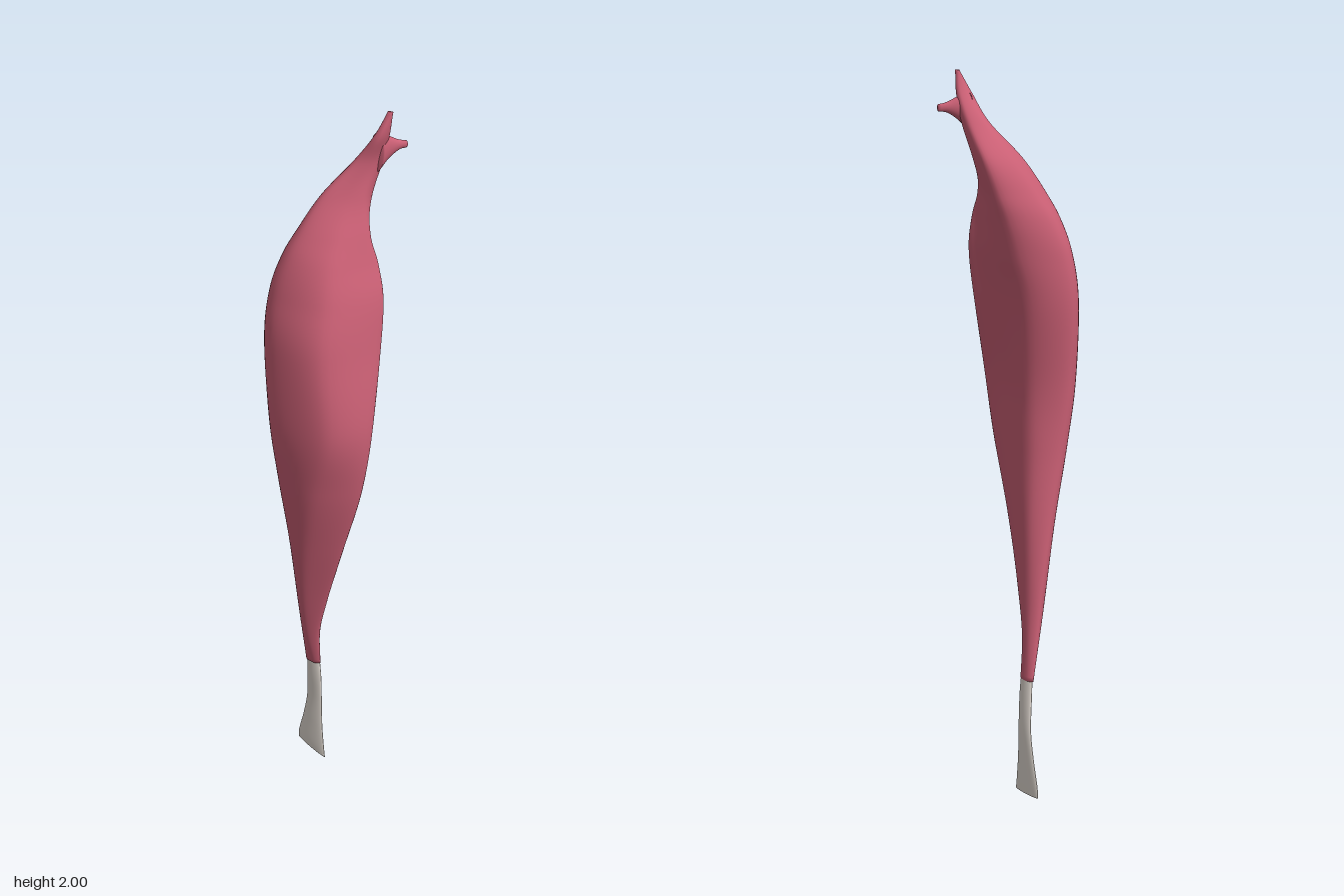
import * as THREE from 'three';

const V = (x, y, z) => new THREE.Vector3(x, y, z);

// Skins a stack of closed rings (same point count, counterclockwise about the path) smoothly, with end caps.
function loft(rings, around, along) {
  const closed = rings.map((r) => {
    const c = new THREE.CatmullRomCurve3(r, true, 'catmullrom', 0.5);
    return Array.from({ length: around }, (_, j) => c.getPoint(j / around));
  });
  const columns = closed[0].map((_, j) =>
    new THREE.CatmullRomCurve3(closed.map((r) => r[j]), false, 'catmullrom', 0.5));
  const pos = [], index = [];
  for (let i = 0; i <= along; i++)
    for (const c of columns) pos.push(...c.getPoint(i / along).toArray());
  for (let i = 0; i < along; i++)
    for (let j = 0; j < around; j++) {
      const k = (j + 1) % around;
      const a = i * around + j, b = i * around + k, c = a + around, d = b + around;
      index.push(a, b, d, a, d, c);
    }
  // end caps
  for (const [ring, row, flip] of [[closed[0], 0, true], [closed.at(-1), along, false]]) {
    const centre = ring.reduce((s, p) => s.add(p), V(0, 0, 0)).divideScalar(around);
    const n = pos.length / 3;
    pos.push(...centre.toArray());
    for (let j = 0; j < around; j++) {
      const a = row * around + j, b = row * around + (j + 1) % around;
      index.push(...(flip ? [n, b, a] : [n, a, b]));
    }
  }
  const g = new THREE.BufferGeometry();
  g.setAttribute('position', new THREE.Float32BufferAttribute(pos, 3));
  g.setIndex(index);
  g.computeVertexNormals();
  return g;
}

// Ellipse of points about a centre, spanned by two half-axes.
const ellipse = (c, u, v, n = 12) => Array.from({ length: n }, (_, i) => {
  const a = (i / n) * Math.PI * 2;
  return c.clone().addScaledVector(u, Math.cos(a)).addScaledVector(v, Math.sin(a));
});

export function createModel() {
  const model = new THREE.Group();
  const add = (name, geometry, color) => {
    const mesh = new THREE.Mesh(geometry, new THREE.MeshStandardMaterial({ color }));
    mesh.name = name;
    model.add(mesh);
  };
  const red = 0xcb6075, ivory = 0xe4dcd4;

  // Muscle belly: height, then x,z of the outer edge, two front points, inner edge, back groove, back ridge
  const sections = [
    [0.47, -0.105, -0.003, -0.087, 0.02, -0.063, 0.022, -0.038, 0.005, -0.055, -0.017, -0.087, -0.02],
    [0.6, -0.106, 0.012, -0.08, 0.048, -0.045, 0.052, 0.002, 0.02, -0.03, -0.008, -0.08, -0.012],
    [0.8, -0.109, 0.04, -0.07, 0.085, -0.005, 0.09, 0.074, 0.037, 0.0, 0.003, -0.07, -0.003],
    [1.0, -0.115, 0.07, -0.07, 0.12, 0.045, 0.124, 0.138, 0.04, 0.04, 0.014, -0.06, 0.01],
    [1.18, -0.128, 0.085, -0.065, 0.146, 0.095, 0.136, 0.163, 0.028, 0.06, 0.016, -0.055, 0.012],
    [1.4, -0.147, 0.078, -0.075, 0.142, 0.08, 0.13, 0.151, -0.014, 0.08, -0.016, -0.07, -0.012],
    [1.53, -0.14, 0.06, -0.075, 0.12, 0.07, 0.1, 0.14, -0.035, 0.088, -0.04, -0.06, -0.045],
    [1.62, -0.119, 0.033, -0.065, 0.095, 0.055, 0.072, 0.115, -0.042, 0.08, -0.05, -0.053, -0.07],
    [1.69, -0.09, 0, -0.05, 0.063, 0.045, 0.038, 0.094, -0.038, 0.06, -0.062, -0.042, -0.09],
    [1.78, -0.045, -0.045, -0.022, 0.01, 0.038, -0.012, 0.074, -0.05, 0.06, -0.09, -0.016, -0.11],
    [1.87, 0.022, -0.078, 0.037, -0.052, 0.068, -0.058, 0.085, -0.085, 0.08, -0.11, 0.042, -0.113],
  ];
  const ends = (y, x, z, w, d) => ellipse(V(x, y, z), V(-w, 0, 0), V(0, 0, d), 6);
  add('muscleBelly', loft([
    ends(0.345, -0.08, -0.02, 0.026, 0.011),
    ...sections.map(([y, ...p]) => [0, 2, 4, 6, 8, 10].map((k) => V(p[k], y, p[k + 1]))),
    ends(1.94, 0.09, -0.092, 0.017, 0.023),
    ends(2.0, 0.109, -0.1, 0.008, 0.004),
  ], 48, 130), red);

  // Short side prong of the forked upper end: x, y, z, half width, half height
  add('upperProng', loft([
    [0.08, 1.895, -0.085, 0.02, 0.05],
    [0.09, 1.905, -0.108, 0.018, 0.032],
    [0.105, 1.908, -0.135, 0.011, 0.014],
    [0.117, 1.907, -0.156, 0.005, 0.009],
  ].map(([x, y, z, w, h]) => ellipse(V(x, y, z), V(w, 0, 0), V(0, -h, 0))), 20, 16), red);

  // Flat tendon flaring toward its slanted foot: left x, left y, right x, right y, z, half thickness, twist
  add('lowerTendon', loft([
    [-0.163, 0.018, -0.047, 0, -0.04, 0.006, 0.008],
    [-0.158, 0.05, -0.051, 0.035, -0.039, 0.007, 0.007],
    [-0.137, 0.12, -0.057, 0.11, -0.037, 0.007, 0.005],
    [-0.118, 0.2, -0.058, 0.2, -0.034, 0.007, 0.003],
    [-0.108, 0.29, -0.055, 0.29, -0.026, 0.008, 0.001],
    [-0.103, 0.36, -0.057, 0.36, -0.02, 0.008, 0],
  ].map(([lx, ly, rx, ry, z, t, s]) => ellipse(V((lx + rx) / 2, (ly + ry) / 2, z),
    V((lx - rx) / 2, (ly - ry) / 2, -s), V(0, 0, t))), 32, 40), ivory);

  return model;
}
